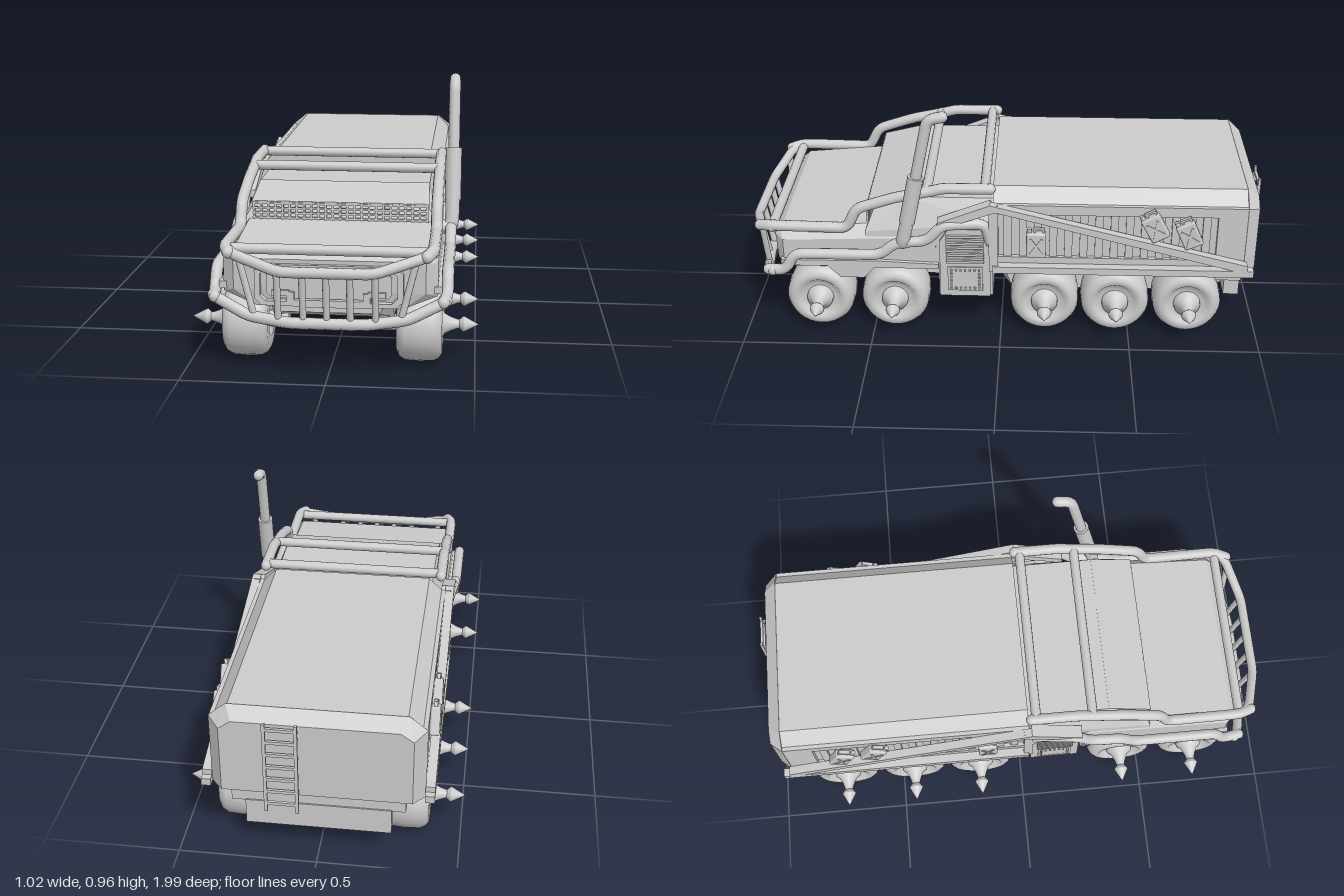
import * as THREE from 'three';
import { ConvexGeometry } from 'three/addons/geometries/ConvexGeometry.js';
import { RoundedBoxGeometry } from 'three/addons/geometries/RoundedBoxGeometry.js';

const V = (x, y, z) => new THREE.Vector3(x, y, z);
const SIDES = [1, -1];

export function createModel() {
  const root = new THREE.Group();
  root.name = 'armouredTruck';
  const mat = new THREE.MeshStandardMaterial({ color: 0xcccccc });
  const open = new THREE.MeshStandardMaterial({ color: 0xcccccc, side: THREE.DoubleSide });

  const add = (name, geo, pos = [0, 0, 0], parent = root, m = mat) => {
    const mesh = new THREE.Mesh(geo, m);
    mesh.name = name;
    mesh.position.set(...pos);
    parent.add(mesh);
    return mesh;
  };
  const box = (name, w, h, d, pos, parent) => add(name, new THREE.BoxGeometry(w, h, d), pos, parent);

  // Faceted solid, symmetric in x, from [halfWidth, y, z] corners
  const hull = (name, pts) => add(name, new ConvexGeometry(
    pts.flatMap(([x, y, z]) => SIDES.map(s => V(s * x, y, z)))));

  // Pipe through corner points with rounded bends and round ends
  const pipe = (name, pts, r, bend = 0.03, parent = root) => {
    const p = pts.map(a => V(...a)), path = new THREE.CurvePath();
    let from = p[0];
    for (let i = 1; i < p.length - 1; i++) {
      const cut = (q) => p[i].clone().add(q.clone().sub(p[i])
        .setLength(Math.min(bend, p[i].distanceTo(q) * 0.45)));
      const a = cut(p[i - 1]), b = cut(p[i + 1]);
      path.add(new THREE.LineCurve3(from, a));
      path.add(new THREE.QuadraticBezierCurve3(a, p[i], b));
      from = b;
    }
    path.add(new THREE.LineCurve3(from, p[p.length - 1]));
    const steps = p.length === 2 ? 1 : p.length * 10;
    add(name, new THREE.TubeGeometry(path, steps, r, 12), [0, 0, 0], parent, open);
    for (const e of [p[0], p[p.length - 1]])
      add(name + 'End', new THREE.SphereGeometry(r, 12, 8), e.toArray(), parent);
  };
  const pipePair = (name, pts, r, bend) => {
    for (const s of SIDES) pipe(name, pts.map(([x, y, z]) => [s * x, y, z]), r, bend);
  };

  // Plate on both flanks, outlined in (z, y), between xIn and xOut
  const flank = (name, pts, xIn, xOut, hole) => {
    const shape = new THREE.Shape(pts.map(a => new THREE.Vector2(...a)));
    if (hole) shape.holes.push(new THREE.Path(hole.map(a => new THREE.Vector2(...a))));
    for (const s of SIDES) {
      const g = new THREE.ExtrudeGeometry(shape, { depth: xOut - xIn, bevelEnabled: false });
      g.rotateY(-Math.PI / 2);
      add(name, g, [s > 0 ? xOut : -xIn, 0, 0]);
    }
  };
  const rect = (z0, y0, z1, y1) => [[z0, y0], [z1, y0], [z1, y1], [z0, y1]];

  // Cargo body with chamfered roof and bevelled rear
  hull('cargoBody', [
    [0.36, 0.28, 0.03], [0.36, 0.56, 0.03], [0.31, 0.61, 0.03],
    [0.36, 0.28, -0.93], [0.36, 0.56, -0.93], [0.31, 0.61, -0.93]]);
  hull('cargoRear', [
    [0.378, 0.28, -0.93], [0.378, 0.56, -0.93], [0.315, 0.612, -0.93],
    [0.335, 0.28, -0.978], [0.335, 0.54, -0.978], [0.29, 0.572, -0.978]]);
  flank('cargoSideFrame', rect(-0.93, 0.28, 0.03, 0.56), 0.355, 0.376, rect(-0.82, 0.335, 0.01, 0.52));
  for (let i = 0; i < 14; i++)
    flank('cargoRib', rect(-0.795 + i * 0.058, 0.335, -0.765 + i * 0.058, 0.52), 0.355, 0.37);

  // Side truss
  flank('lowerRail', rect(-0.965, 0.28, 0.03, 0.308), 0.376, 0.41);
  flank('diagonalBeam', [[0.04, 0.575], [0.02, 0.545], [-0.94, 0.295], [-0.94, 0.33]], 0.376, 0.41);
  flank('frontBrace', [[0.04, 0.575], [0.24, 0.495], [0.24, 0.465], [0.02, 0.545]], 0.36, 0.41);
  flank('trussPost', rect(0.01, 0.28, 0.045, 0.57), 0.376, 0.40);

  // Jerry cans strapped to the sides
  for (const s of SIDES) for (const [z, y, tilt] of [[-0.135, 0.41, 0], [-0.58, 0.49, 0.5], [-0.71, 0.462, 0.42]]) {
    const can = new THREE.Group();
    can.name = 'jerryCan';
    can.position.set(s * 0.39, y, z);
    can.rotation.x = tilt;
    root.add(can);
    add('canBody', new RoundedBoxGeometry(0.036, 0.105, 0.075, 2, 0.008), [0, -0.008, 0], can);
    box('canHandle', 0.014, 0.008, 0.045, [0, 0.058, -0.01], can);
    for (const z2 of [-0.028, 0.006]) box('handlePost', 0.012, 0.018, 0.008, [0, 0.05, z2], can);
    add('canCap', new THREE.CylinderGeometry(0.009, 0.009, 0.02, 10), [0, 0.05, 0.026], can);
    for (const a of [0.6, -0.6])
      box('canEmboss', 0.006, 0.08, 0.008, [s * 0.018, -0.01, 0], can).rotation.x = a;
  }

  // Rear ladder
  for (const x of [0.065, 0.175]) {
    box('ladderRail', 0.012, 0.37, 0.01, [x, 0.4, -0.995]);
    for (const y of [0.3, 0.55]) box('ladderBracket', 0.01, 0.01, 0.035, [x, y, -0.98]);
  }
  for (let i = 0; i < 7; i++) box('ladderRung', 0.12, 0.012, 0.01, [0.12, 0.25 + i * 0.052, -0.995]);

  // Chassis and rear bumper
  hull('rearChassis', [
    [0.21, 0.095, -0.04], [0.17, 0.18, 0.03], [0.21, 0.28, 0.03],
    [0.21, 0.095, -0.82], [0.21, 0.16, -0.9], [0.21, 0.28, -0.9]]);
  box('rearSubframe', 0.62, 0.08, 0.1, [0, 0.245, -0.885]);
  box('rearBumper', 0.52, 0.1, 0.06, [0, 0.16, -0.91]);
  hull('frontChassis', [
    [0.215, 0.155, 0.05], [0.215, 0.155, 0.72], [0.17, 0.21, 0.86],
    [0.215, 0.29, 0.05], [0.215, 0.29, 0.86]]);

  // Cab, hood and visor
  hull('cab', [
    [0.37, 0.158, 0.03], [0.37, 0.158, 0.24], [0.37, 0.44, 0.24], [0.37, 0.47, 0.03],
    [0.32, 0.56, 0.03], [0.32, 0.54, 0.24]]);
  hull('cabUpper', [
    [0.37, 0.28, 0.03], [0.37, 0.28, 0.52], [0.365, 0.43, 0.52], [0.365, 0.47, 0.03],
    [0.32, 0.56, 0.03], [0.32, 0.56, 0.36], [0.32, 0.505, 0.49]]);
  hull('visor', [
    [0.32, 0.562, 0.35], [0.325, 0.518, 0.515], [0.325, 0.508, 0.515], [0.32, 0.54, 0.35]]);
  hull('hood', [
    [0.37, 0.275, 0.25], [0.37, 0.275, 0.84], [0.37, 0.39, 0.84], [0.37, 0.41, 0.25],
    [0.335, 0.452, 0.5], [0.335, 0.42, 0.85], [0.335, 0.452, 0.25],
    [0.33, 0.40, 0.875], [0.25, 0.23, 0.86], [0.33, 0.29, 0.87]]);
  flank('fenderSkirt', [
    [0.85, 0.285], [0.67, 0.285], [0.62, 0.235], [0.53, 0.235], [0.49, 0.28], [0.24, 0.28],
    [0.24, 0.30], [0.46, 0.31], [0.85, 0.31]], 0.355, 0.385);

  // Windscreen mesh
  for (let i = 0; i <= 24; i++) box('meshUpright', 0.008, 0.068, 0.008, [-0.318 + i * 0.0265, 0.483, 0.515]);
  for (let i = 0; i < 4; i++) box('meshBar', 0.645, 0.007, 0.008, [0, 0.456 + i * 0.018, 0.515]);

  // Grille with octagonal frame and stepped lower guard
  const octagon = (C, w, y0, y1, c) => new C([
    [-w + c, y0], [w - c, y0], [w, y0 + c], [w, y1 - c], [w - c, y1], [-w + c, y1], [-w, y1 - c], [-w, y0 + c],
  ].map(a => new THREE.Vector2(...a)));
  const ring = octagon(THREE.Shape, 0.255, 0.24, 0.385, 0.025);
  ring.holes.push(octagon(THREE.Path, 0.235, 0.255, 0.372, 0.02));
  add('grilleFrame', new THREE.ExtrudeGeometry(ring, { depth: 0.03, bevelEnabled: false }), [0, 0, 0.86]);
  add('grillePanel', new THREE.ExtrudeGeometry(octagon(THREE.Shape, 0.215, 0.265, 0.365, 0.02),
    { depth: 0.02, bevelEnabled: false }), [0, 0, 0.862]);
  box('grilleGuard', 0.24, 0.025, 0.035, [0, 0.25, 0.875]);
  for (const s of SIDES) {
    box('guardStep', 0.025, 0.05, 0.035, [s * 0.13, 0.265, 0.875]);
    box('guardWing', 0.06, 0.02, 0.035, [s * 0.165, 0.285, 0.875]);
  }

  // Door panels with louvres and bolted plate
  flank('doorPanel', [[0.04, 0.158], [0.235, 0.158], [0.235, 0.40], [0.2, 0.455], [0.04, 0.455]], 0.365, 0.382);
  for (let i = 0; i < 8; i++) flank('louvre', rect(0.065, 0.31 + i * 0.016, 0.21, 0.319 + i * 0.016), 0.38, 0.392);
  flank('doorPlate', rect(0.07, 0.185, 0.205, 0.29), 0.38, 0.387);
  for (const s of SIDES) for (let i = 0; i < 7; i++) for (let j = 0; j < 6; j++)
    if (i % 6 === 0 || j % 5 === 0)
      box('doorBolt', 0.008, 0.008, 0.008, [s * 0.388, 0.197 + j * 0.016, 0.083 + i * 0.018]);

  // Roll cage
  pipePair('cageRail', [
    [0.335, 0.435, 0.93], [0.355, 0.445, 0.88], [0.355, 0.44, 0.59], [0.355, 0.525, 0.55],
    [0.355, 0.575, 0.4], [0.355, 0.605, 0.26], [0.355, 0.617, 0.22], [0.355, 0.617, 0.04]], 0.021, 0.03);
  for (const [y, z] of [[0.617, 0.06], [0.604, 0.28], [0.437, 0.88]])
    pipe('cageCrossbar', [[-0.355, y, z], [0.355, y, z]], 0.019);

  // Side bars from the bumper up around the doors
  pipePair('sideBar', [
    [0.39, 0.27, 0.9], [0.402, 0.275, 0.83], [0.402, 0.35, 0.79], [0.402, 0.35, 0.46],
    [0.402, 0.405, 0.4], [0.402, 0.415, 0.28], [0.402, 0.485, 0.22], [0.385, 0.485, 0.06], [0.375, 0.40, 0.04]], 0.021, 0.035);

  // Bull bar
  const mirrored = half => [...half, ...half.slice().reverse().map(([x, y, z]) => [-x, y, z])];
  pipe('bullBarTop', mirrored([[0.352, 0.445, 0.89], [0.325, 0.43, 0.925], [0.16, 0.384, 0.975]]), 0.019);
  pipe('bullBarBottom', mirrored([[0.4, 0.27, 0.88], [0.385, 0.265, 0.895], [0.27, 0.213, 0.925], [0.13, 0.198, 0.945]]), 0.02);
  for (const x of [-0.165, -0.08, 0, 0.08, 0.165])
    pipe('bullBarSlat', [[x, 0.38, 0.972], [x, 0.2, 0.942]], 0.012);
  pipePair('bullBarStrut', [[0.3, 0.42, 0.933], [0.25, 0.215, 0.928]], 0.012);

  // Exhaust stack on one side
  pipe('exhaustElbow', [[0.36, 0.40, 0.375], [0.405, 0.40, 0.375], [0.407, 0.51, 0.35]], 0.027, 0.04);
  pipe('exhaustPipe', [[0.407, 0.5, 0.352], [0.407, 0.925, 0.265], [0.407, 0.936, 0.21]], 0.021, 0.03);
  const sleeve = add('exhaustSleeve', new THREE.CylinderGeometry(0.03, 0.03, 0.195, 20), [0.407, 0.595, 0.333]);
  sleeve.rotation.x = -0.2;

  // Wheels: tyre, dished rim and spiked hub turned around the axle
  const lathe = pts => new THREE.LatheGeometry(pts.map(a => new THREE.Vector2(...a)), 32);
  const tyre = lathe([
    [0.06, -0.08], [0.1, -0.08], [0.12, -0.07], [0.131, -0.05], [0.134, 0], [0.131, 0.05],
    [0.12, 0.07], [0.105, 0.08], [0.085, 0.08], [0.075, 0.066], [0.055, 0.062], [0, 0.062]]);
  const hub = lathe([[0.052, 0.06], [0.05, 0.078], [0.035, 0.088], [0.024, 0.11], [0.017, 0.13], [0.016, 0.14]]);
  const spike = lathe([[0.016, 0.138], [0.028, 0.152], [0.027, 0.156], [0, 0.207]]);
  for (const s of SIDES) for (const z of [0.71, 0.415, -0.17, -0.445, -0.725]) {
    const wheel = new THREE.Group();
    wheel.name = 'wheel';
    wheel.position.set(s * 0.305, 0.134, z);
    wheel.rotation.z = -s * Math.PI / 2;
    root.add(wheel);
    add('tyre', tyre, [0, 0, 0], wheel, open);
    add('hub', hub, [0, 0, 0], wheel, open);
    add('hubSpike', spike, [0, 0, 0], wheel, open);
    add('axle', new THREE.CylinderGeometry(0.03, 0.03, 0.15, 12), [0, -0.07, 0], wheel);
  }
  return root;
}
